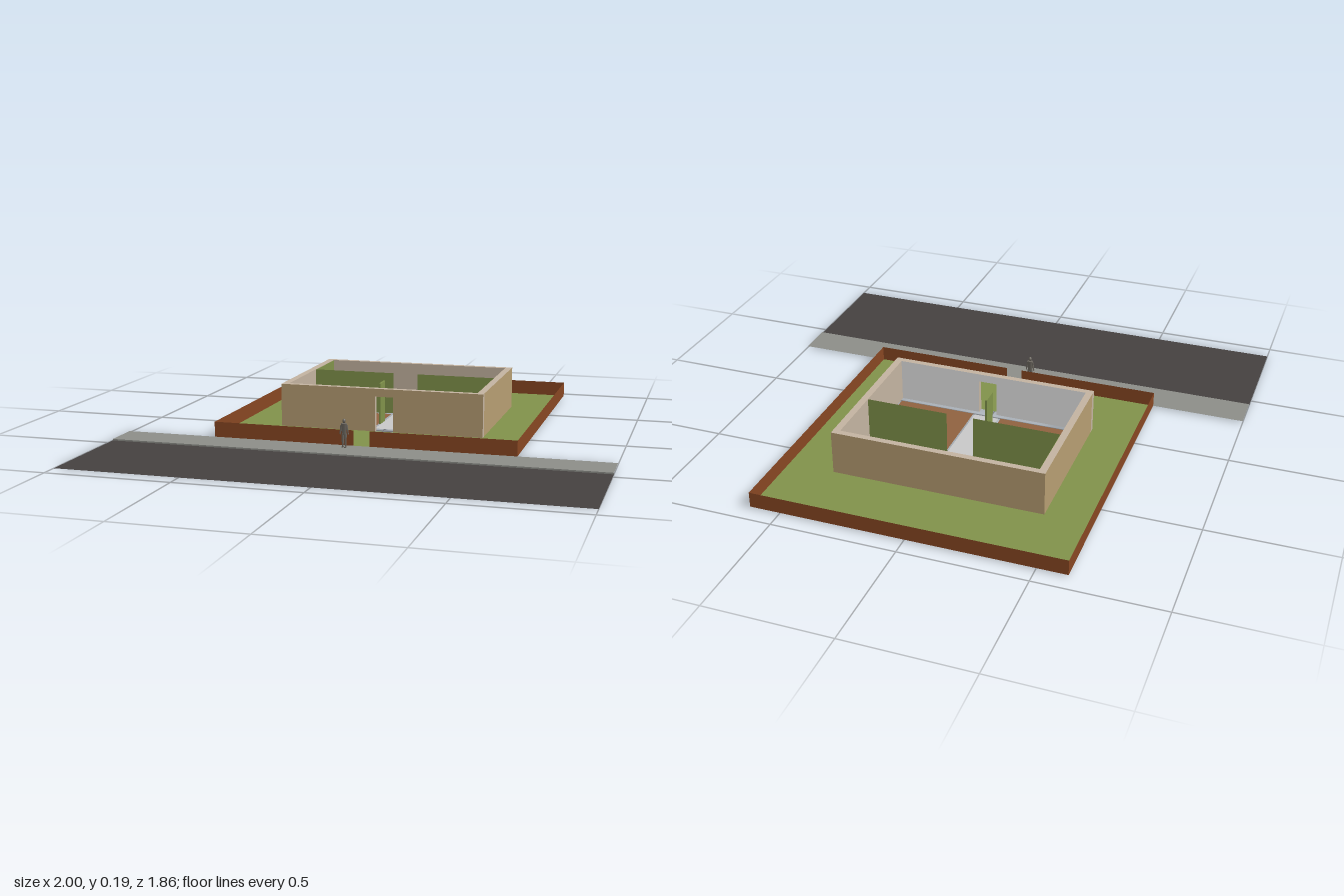
import * as THREE from 'three';

const mat = (name, color, side = THREE.FrontSide) => {
  const m = new THREE.MeshStandardMaterial({ color, side });
  m.name = name;
  return m;
};

export function createModel() {
  const model = new THREE.Group();
  const D = THREE.DoubleSide;
  const lawnGreen = mat('lawn green', 0x80924a, D);
  const asphalt = mat('asphalt', 0x454140, D);
  const paving = mat('paving grey', 0x8c8d88, D);
  const brick = mat('brick brown', 0x874622, D);
  const tan = mat('tan wall', 0xb69d72);
  const plaster = mat('plaster', 0xc3b3a0);
  const wood = mat('wood floor', 0x8f6240, D);
  const pale = mat('pale tile', 0xc8c8c8, D);
  const white = mat('white paint', 0xffffff);
  const cloth = mat('figure grey', 0x6c675f);

  const add = (name, geo, material, parent = model) => {
    const m = new THREE.Mesh(geo, material);
    m.name = name;
    parent.add(m);
    return m;
  };
  // axis-aligned box from its limits
  const box = (name, x0, x1, y0, y1, z0, z1, material, parent) =>
    add(name, new THREE.BoxGeometry(x1 - x0, y1 - y0, z1 - z0)
      .translate((x0 + x1) / 2, (y0 + y1) / 2, (z0 + z1) / 2), material, parent);
  // horizontal sheet from its limits
  const sheet = (name, x0, x1, z0, z1, y, material) =>
    add(name, new THREE.PlaneGeometry(x1 - x0, z1 - z0).rotateX(-Math.PI / 2)
      .translate((x0 + x1) / 2, y, (z0 + z1) / 2), material);
  // upright sheet between two ground points
  const panel = (name, xa, za, xb, zb, y0, y1, material) =>
    add(name, new THREE.PlaneGeometry(Math.hypot(xb - xa, zb - za), y1 - y0)
      .rotateY(-Math.atan2(zb - za, xb - xa))
      .translate((xa + xb) / 2, (y0 + y1) / 2, (za + zb) / 2), material);

  const G = 0.006, TOP = 0.185, FENCE = 0.068;

  // street
  sheet('road', -1, 1, 0.46, 0.93, 0, asphalt);
  sheet('sidewalk', -1, 1, 0.31, 0.46, G, paving);
  panel('curb', -1, 0.46, 1, 0.46, 0, G, paving);

  // lawn with the house footprint cut out
  const rect = (C, x0, x1, z0, z1) => {
    const s = new C();
    s.moveTo(x0, -z0); s.lineTo(x1, -z0); s.lineTo(x1, -z1); s.lineTo(x0, -z1); s.closePath();
    return s;
  };
  const lawnShape = rect(THREE.Shape, -0.62, 0.62, -0.93, 0.31);
  lawnShape.holes.push(rect(THREE.Path, -0.43, 0.43, -0.61, 0.04));
  add('lawn', new THREE.ShapeGeometry(lawnShape).rotateX(-Math.PI / 2).translate(0, G, 0), lawnGreen);

  // boundary wall with a front gateway
  panel('backFence', -0.62, -0.93, 0.62, -0.93, G, FENCE, brick);
  for (const s of [-1, 1]) {
    panel('sideFence', s * 0.62, -0.93, s * 0.62, 0.31, G, FENCE, brick);
    panel('frontFence', s * 0.62, 0.31, s * 0.033, 0.31, G, FENCE, brick);
  }

  // outer house walls; box sides run +x, -x, top, bottom, +z, -z
  const T = tan, P = plaster;
  box('backWall', -0.43, 0.43, G, TOP, -0.61, -0.585, [T, T, P, T, P, T]);
  box('rightWall', -0.43, -0.402, G, TOP, -0.585, 0.015, [P, T, P, T, T, T]);
  box('leftWall', 0.402, 0.43, G, TOP, -0.585, 0.015, [T, P, P, T, T, T]);
  const front = [P, P, P, T, T, white];
  box('frontWallRight', -0.43, -0.022, G, TOP, 0.015, 0.04, front);
  box('frontWallLeft', 0.055, 0.43, G, TOP, 0.015, 0.04, front);
  box('doorLintel', -0.022, 0.055, 0.152, TOP, 0.015, 0.04, front);
  box('greenLining', -0.402, -0.4, G, TOP - 0.002, -0.585, -0.33, lawnGreen);

  // inner partitions
  panel('partitionRight', -0.402, -0.328, -0.045, -0.328, G, TOP, lawnGreen);
  panel('partitionLeft', 0.065, -0.328, 0.402, -0.328, G, TOP, lawnGreen);
  box('hallPier', -0.046, -0.038, G, TOP - 0.005, -0.17, -0.1, lawnGreen);

  // floors, with narrow gaps between the rooms
  sheet('backRoomFloor', -0.395, 0.393, -0.578, -0.328, G, wood);
  sheet('rightRoomFloor', -0.395, -0.048, -0.31, -0.008, G, wood);
  sheet('leftRoomFloor', 0.073, 0.397, -0.31, -0.008, G, wood);
  sheet('hallFloor', -0.038, 0.066, -0.322, -0.012, G, pale);

  // standing figure on the sidewalk
  const figure = new THREE.Group();
  figure.name = 'figure';
  figure.position.set(-0.06, G, 0.345);
  model.add(figure);
  const limb = (name, x0, y0, x1, y1, r0, r1) => {
    const m = add(name, new THREE.CylinderGeometry(r1, r0, Math.hypot(x1 - x0, y1 - y0), 10), cloth, figure);
    m.position.set((x0 + x1) / 2, (y0 + y1) / 2, 0);
    m.rotation.z = -Math.atan2(x1 - x0, y1 - y0);
  };
  for (const s of [-1, 1]) {
    limb('leg', s * 0.006, 0, s * 0.005, 0.055, 0.003, 0.006);
    limb('arm', s * 0.017, 0.052, s * 0.011, 0.09, 0.0025, 0.004);
    box('foot', s * 0.006 - 0.003, s * 0.006 + 0.003, 0, 0.004, -0.004, 0.009, cloth, figure);
  }
  add('torso', new THREE.CylinderGeometry(0.013, 0.009, 0.045, 12).scale(1, 1, 0.6)
    .translate(0, 0.073, 0), cloth, figure);
  add('head', new THREE.SphereGeometry(0.0075, 12, 10).scale(0.9, 1.2, 1).translate(0, 0.106, 0), cloth, figure);

  return model;
}
